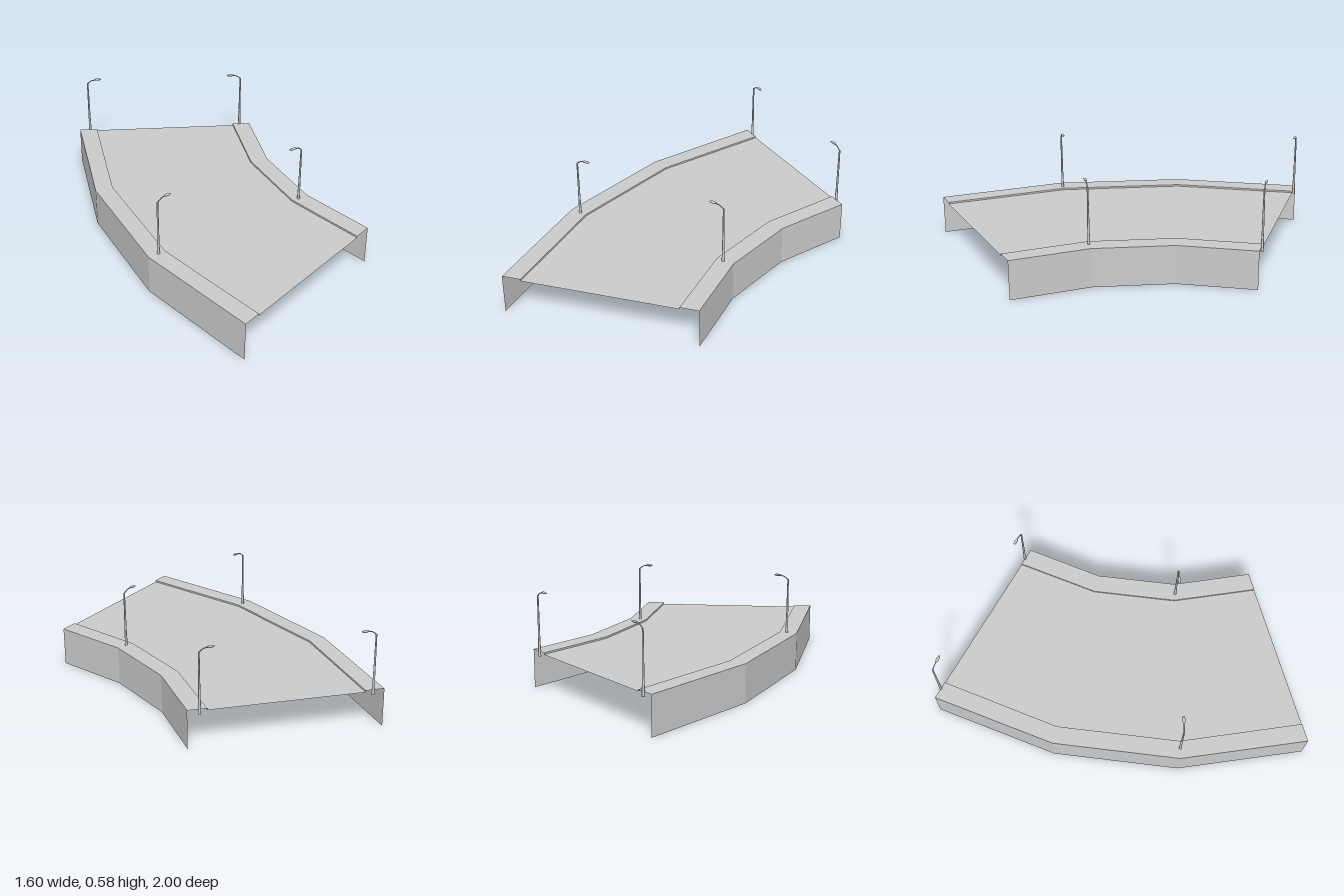
import * as THREE from 'three';

const ROAD_Y = 0.218, WALK_Y = 0.228;

// Plan lines [x, z], front to back
const outerRight = [[-0.8, 1], [-0.702, 0.265], [-0.42, -0.412], [0.028, -1]];
const curbRight = [[-0.695, 1], [-0.602, 0.292], [-0.33, -0.363], [0.104, -0.925]];
const curbLeft = [[0.18, 1], [0.242, 0.515], [0.427, 0.07], [0.72, -0.308]];
const outerLeft = [[0.285, 1], [0.342, 0.547], [0.518, 0.122], [0.795, -0.232]];

const grey = new THREE.MeshStandardMaterial({ color: 0xcccccc, flatShading: true, side: THREE.DoubleSide });
const smooth = new THREE.MeshStandardMaterial({ color: 0xcccccc });

// Strip of quads between two plan lines, each at its own height
function strip(name, a, ya, b, yb) {
  const pos = [], index = [];
  a.forEach(([x, z], i) => {
    pos.push(x, ya, z, b[i][0], yb, b[i][1]);
    if (i) {
      const k = 2 * i;
      index.push(k - 2, k - 1, k, k - 1, k + 1, k);
    }
  });
  const g = new THREE.BufferGeometry();
  g.setAttribute('position', new THREE.Float32BufferAttribute(pos, 3));
  g.setIndex(index);
  const flat = g.toNonIndexed();
  flat.computeVertexNormals();
  const mesh = new THREE.Mesh(flat, grey);
  mesh.name = name;
  return mesh;
}

// Street lamp with its arm along local +x
function streetLamp(x, z, dx, dz) {
  const lamp = new THREE.Group();
  lamp.name = 'streetLamp';
  const add = (name, geometry, px, py) => {
    const mesh = new THREE.Mesh(geometry, smooth);
    mesh.name = name;
    mesh.position.set(px, py, 0);
    lamp.add(mesh);
    return mesh;
  };
  add('lampBase', new THREE.CylinderGeometry(0.007, 0.0085, 0.09, 8), 0, 0.245);
  add('lampPole', new THREE.CylinderGeometry(0.0045, 0.0065, 0.265, 8), 0, 0.4225);
  // Bent arm reaching over the road
  const path = new THREE.CurvePath();
  const pts = [[0, 0.548], [0.008, 0.56], [0.026, 0.572], [0.05, 0.575]]
    .map(([px, py]) => new THREE.Vector3(px, py, 0));
  for (let i = 1; i < pts.length; i++) path.add(new THREE.LineCurve3(pts[i - 1], pts[i]));
  add('lampArm', new THREE.TubeGeometry(path, 9, 0.003, 6), 0, 0);
  const head = add('lampHead', new THREE.SphereGeometry(1, 10, 6), 0.063, 0.577);
  head.scale.set(0.023, 0.0065, 0.009);
  lamp.position.set(x, 0, z);
  lamp.rotation.y = Math.atan2(-dz, dx);
  return lamp;
}

export function createModel() {
  const model = new THREE.Group();
  model.name = 'curvedRoadSection';

  // Road deck
  model.add(strip('roadSurface', curbRight, ROAD_Y, curbLeft, ROAD_Y));

  // Pavement, curb face and side wall on each side
  model.add(strip('rightPavement', outerRight, WALK_Y, curbRight, WALK_Y));
  model.add(strip('rightCurb', curbRight, WALK_Y, curbRight, ROAD_Y));
  model.add(strip('rightWall', outerRight, 0, outerRight, WALK_Y));
  model.add(strip('leftPavement', curbLeft, WALK_Y, outerLeft, WALK_Y));
  model.add(strip('leftCurb', curbLeft, ROAD_Y, curbLeft, WALK_Y));
  model.add(strip('leftWall', outerLeft, WALK_Y, outerLeft, 0));

  // Lamps: position, then direction toward the road
  [
    [-0.642, 0.283, 0.97, 0.24],
    [0.074, -0.955, 0.74, 0.67],
    [0.281, 0.532, -0.97, -0.24],
    [0.75, -0.279, -0.74, -0.67],
  ].forEach((p) => model.add(streetLamp(...p)));

  return model;
}
